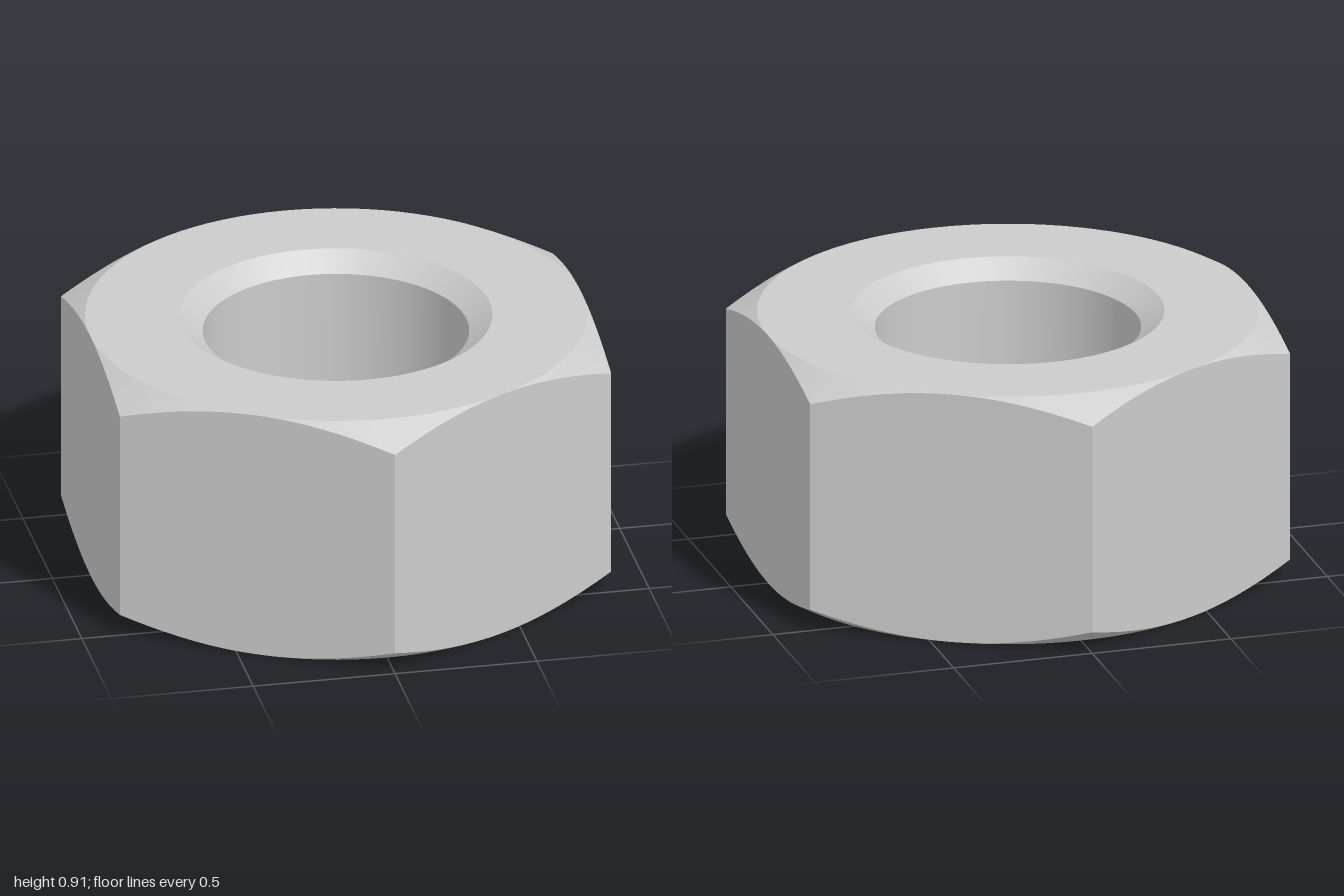
import * as THREE from 'three';
import { toCreasedNormals } from 'three/addons/utils/BufferGeometryUtils.js';

const HEIGHT = 0.91;
const FLAT = Math.sqrt(3) / 2; // centre to flat side; corners lie at radius 1
const BORE = 0.46;
const RIM = 0.54; // countersink radius at the end faces
const SINK = 0.06; // countersink depth
const SEGMENTS = 96; // a multiple of 12, so columns hit corners and side centres

// Sweeps a [radius, y] profile, which may vary with the angle, around the y axis.
function sweep(profileAt) {
  const positions = [];
  const index = [];
  const rows = profileAt(0).length;
  for (let j = 0; j < SEGMENTS; j++) {
    const angle = (j / SEGMENTS) * Math.PI * 2;
    for (const [r, y] of profileAt(angle)) {
      positions.push(r * Math.sin(angle), y, r * Math.cos(angle));
    }
    const here = j * rows;
    const next = ((j + 1) % SEGMENTS) * rows;
    for (let i = 0; i < rows - 1; i++) {
      index.push(here + i, next + i, next + i + 1, here + i, next + i + 1, here + i + 1);
    }
  }
  const geometry = new THREE.BufferGeometry();
  geometry.setAttribute('position', new THREE.Float32BufferAttribute(positions, 3));
  geometry.setIndex(index);
  return toCreasedNormals(geometry, 0.35);
}

// Hexagonal outside, its corners cut by a 30 degree cone at both ends
function bodyProfile(angle) {
  const fromSideCentre = (angle % (Math.PI / 3)) - Math.PI / 6;
  const r = FLAT / Math.cos(fromSideCentre);
  const cut = Math.max(0, r - FLAT) * Math.tan(Math.PI / 6);
  return [
    [RIM, 0], [FLAT, 0], [r, cut],
    [r, HEIGHT - cut], [FLAT, HEIGHT], [RIM, HEIGHT],
  ];
}

// Round hole with a countersink at both ends
function boreProfile() {
  return [[RIM, HEIGHT], [BORE, HEIGHT - SINK], [BORE, SINK], [RIM, 0]];
}

export function createModel() {
  const material = new THREE.MeshStandardMaterial({ color: 0xcccccc });
  const group = new THREE.Group();
  group.name = 'hexNut';
  for (const [name, profile] of [['hexBody', bodyProfile], ['bore', boreProfile]]) {
    const mesh = new THREE.Mesh(sweep(profile), material);
    mesh.name = name;
    group.add(mesh);
  }
  return group;
}
